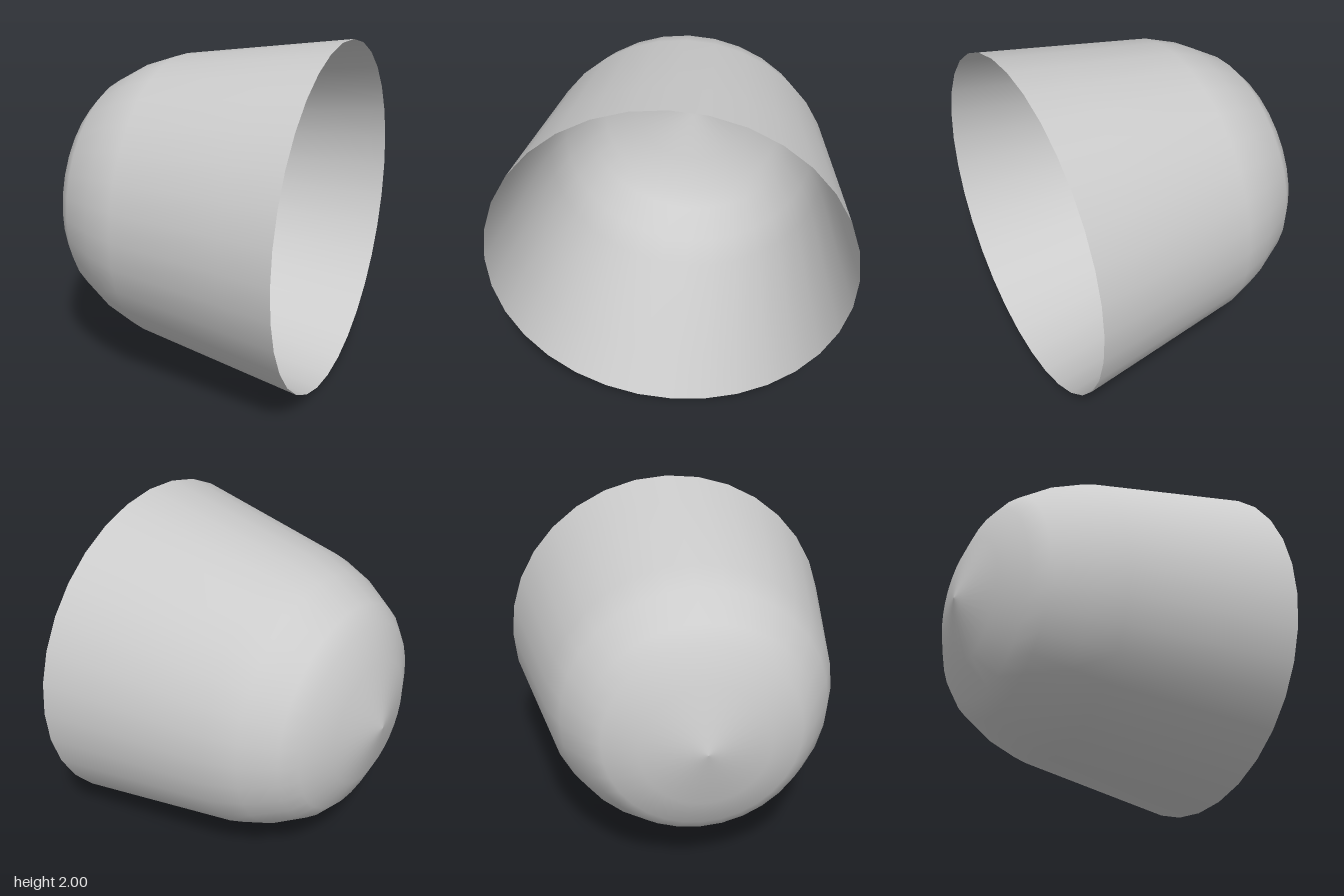
import * as THREE from 'three';

export function createModel() {
  const group = new THREE.Group();
  const material = new THREE.MeshStandardMaterial({ color: 0xcccccc, side: THREE.DoubleSide });

  // Profile from the closed tip to the open rim: [radius, distance along the axis]
  const profile = [
    [0, -0.81], [0.08, -0.793], [0.365, -0.72], [0.555, -0.63], [0.645, -0.55],
    [0.76, -0.36], [0.828, -0.18], [0.947, 0.5], [1, 0.805],
  ].map(([r, d]) => new THREE.Vector2(r, d));

  // Thin open shell, turned so that the rim faces +x
  const shell = new THREE.Mesh(new THREE.LatheGeometry(profile, 32), material);
  shell.name = 'domedShell';
  shell.rotation.z = -Math.PI / 2;
  shell.position.y = 1;
  group.add(shell);

  return group;
}
